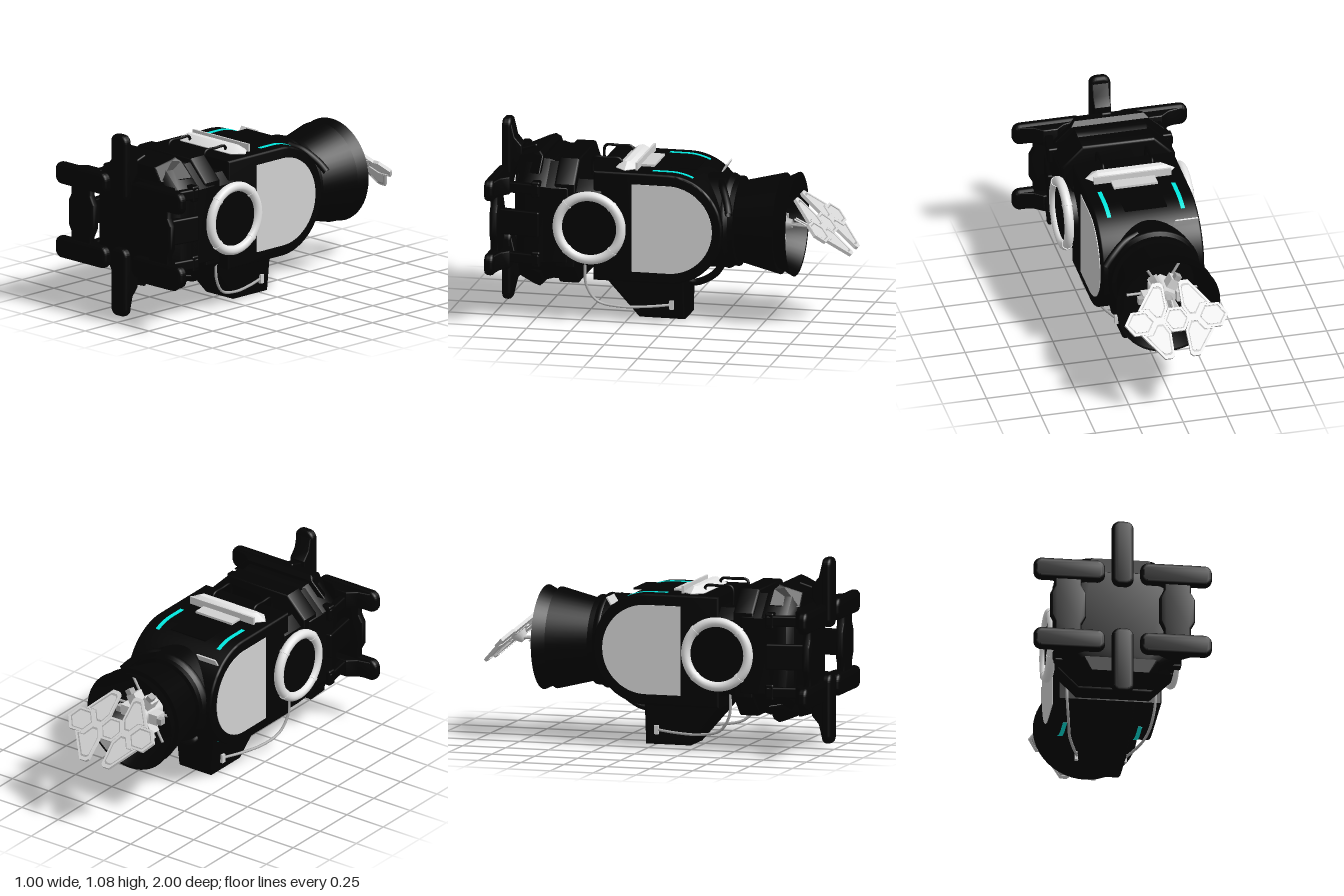
import * as THREE from 'three';
import { toCreasedNormals } from 'three/addons/utils/BufferGeometryUtils.js';
import { RoundedBoxGeometry } from 'three/addons/geometries/RoundedBoxGeometry.js';

const CY = 0.555; // height of the long axis
const material = (name, color, side = THREE.FrontSide) => {
  const m = new THREE.MeshStandardMaterial({ color, side });
  m.name = name;
  return m;
};
const black = material('hull black', 0x030303, THREE.DoubleSide);
const white = material('ring white', 0xe4e4e4);
const panelGrey = material('panel grey', 0xd0d0d0);
const dishGrey = material('dish grey', 0xd6d6d6);
const frameGrey = material('frame grey', 0xaaaaaa);
const cyan = material('cyan light', 0x00f4ea);

function add(parent, name, geo, mat, p = [0, 0, 0], r = [0, 0, 0]) {
  const m = new THREE.Mesh(geo, mat);
  m.name = name;
  m.position.set(...p);
  m.rotation.set(...r);
  parent.add(m);
  return m;
}
const box = (w, h, d, r = 0) => r ? new RoundedBoxGeometry(w, h, d, 3, r) : new THREE.BoxGeometry(w, h, d);
const poly = pts => new THREE.Shape(pts.map(p => new THREE.Vector2(...p)));

// Extrusion centred on its depth; the bevel stays inside the outline
function slab(shape, depth, bevel = 0, thick = bevel) {
  const g = new THREE.ExtrudeGeometry(shape, {
    depth: depth - 2 * thick, bevelEnabled: bevel > 0, bevelSize: bevel, bevelThickness: thick,
    bevelOffset: -bevel, bevelSegments: thick === bevel ? 3 : 1, curveSegments: 20,
  });
  g.translate(0, 0, thick - depth / 2);
  return toCreasedNormals(g, 0.6);
}
// Outline in (z, y), extruded across x
const sideSlab = (shape, width, bevel) => slab(shape, width, bevel).rotateY(-Math.PI / 2);

// Scale x of each vertex by a rule of y and z
function taper(geo, rule) {
  const p = geo.attributes.position;
  for (let i = 0; i < p.count; i++) p.setX(i, p.getX(i) * rule(p.getY(i), p.getZ(i)));
  geo.computeVertexNormals();
  return geo;
}
function octagon(w, h, cx, cy = cx) {
  return poly([[w, h - cy], [w - cx, h], [cx - w, h], [-w, h - cy],
    [-w, cy - h], [cx - w, -h], [w - cx, -h], [w, cy - h]]);
}
function roundRect(w, h, r) {
  const s = new THREE.Shape(), x = w / 2 - r, y = h / 2 - r;
  s.absarc(x, y, r, 0, Math.PI / 2);
  s.absarc(-x, y, r, Math.PI / 2, Math.PI);
  s.absarc(-x, -y, r, Math.PI, Math.PI * 1.5);
  s.absarc(x, -y, r, Math.PI * 1.5, Math.PI * 2);
  s.closePath();
  return s;
}
// D-shaped outline in (z, y), round towards the back
function dShape(front, centre, r) {
  const s = new THREE.Shape();
  s.moveTo(front, CY - r);
  s.lineTo(front, CY + r);
  s.absarc(centre, CY, r, Math.PI / 2, Math.PI * 1.5);
  s.closePath();
  return s;
}
// Thin band in (z, y) that follows the hull, t = 1 on the roof and -1 below
function hullBand(t) {
  const s = new THREE.Shape(), a = t * Math.PI / 2, b = t * (Math.PI / 2 + 0.43);
  s.moveTo(0.1, CY + t * 0.31);
  s.lineTo(0.1, CY + t * 0.315);
  s.absarc(0, CY, 0.315, a, b, t < 0);
  s.absarc(0, CY, 0.31, b, a, t > 0);
  s.closePath();
  return s;
}
const tube = (pts, r, n = 30) => new THREE.TubeGeometry(
  new THREE.CatmullRomCurve3(pts.map(p => new THREE.Vector3(...p))), n, r, 8);

// Straight rod between two points
function rod(parent, name, a, b, r, mat) {
  const A = new THREE.Vector3(...a), B = new THREE.Vector3(...b);
  const m = add(parent, name, new THREE.CylinderGeometry(r, r, A.distanceTo(B), 10), mat);
  m.position.copy(A).lerp(B, 0.5);
  m.quaternion.setFromUnitVectors(new THREE.Vector3(0, 1, 0), B.sub(A).normalize());
}

// Landing pad: rounded sole with a flared foot behind it, long side along local x
function pad(parent, name, x, y, len, wid, turn) {
  const g = new THREE.Group();
  g.name = name;
  add(g, 'sole', slab(roundRect(len, wid, 0.045), 0.054, 0.02), black, [0, 0, 0.97]);
  const half = [[0.45, 0.96], [0.4, 0.942], [0.22, 0.925], [0.1, 0.885]];
  const foot = poly([...half.map(([u, z]) => [-u * len, z]), ...half.reverse().map(([u, z]) => [u * len, z])]);
  add(g, 'foot', slab(foot, wid * 0.8, 0.006).rotateX(Math.PI / 2), black);
  g.position.set(x, y, 0);
  g.rotation.z = turn;
  parent.add(g);
}

export function createModel() {
  const model = new THREE.Group();
  model.name = 'spacecraft';

  // Hull
  add(model, 'mainHull', sideSlab(dShape(0.42, 0, 0.312), 0.58, 0.012), black);
  add(model, 'neck', slab(octagon(0.3, 0.25, 0.06), 0.2, 0.01), black, [0, CY, 0.47]);
  add(model, 'frontFlange', slab(octagon(0.325, 0.355, 0.12), 0.12, 0.015), black, [0, CY, 0.575]);
  add(model, 'frontCore', slab(octagon(0.33, 0.335, 0.125), 0.2, 0.02), black, [0, CY, 0.65]);
  add(model, 'frontBlock', slab(octagon(0.33, 0.345, 0.13), 0.27, 0.095), black, [0, CY, 0.735]);
  const keel = poly([[0.42, 0.28], [0.38, 0.21], [0.2, 0], [-0.06, 0], [-0.06, 0.28]]);
  add(model, 'keel', taper(sideSlab(keel, 0.28, 0.018), y => 0.85 + 0.8 * y), black);
  add(model, 'keelPipe', tube([[0, 0.2, -0.04], [0, 0.19, -0.1], [0, 0.24, -0.2], [0, 0.32, -0.26]], 0.02), black);

  // Landing gear
  for (const s of [1, -1]) {
    const v = CY + s * 0.326;
    pad(model, 'verticalPad', 0, v, 0.39, 0.122, Math.PI / 2);
    const bracket = poly([[0.72, 0.28], [0.72, 0.365], [0.745, 0.387], [0.78, 0.375], [0.87, 0.34], [0.87, 0.26]]
      .map(([z, y]) => [z, CY + s * y]));
    add(model, 'padBracket', taper(sideSlab(bracket, 0.56, 0.006), (y, z) =>
      (1.12 - Math.max(0, Math.abs(y - CY) - 0.28) * 3.8) * (1 - Math.max(0, z - 0.76) * 3.2)), black);
    add(model, 'padStrut', box(0.06, 0.07, 0.14, 0.01), black, [0, v, 0.86], [s * 0.3, 0, 0]);

    const side = new THREE.Group();
    side.name = 'sideGear';
    const web = poly([[0.23, 0.2], [0.23, 0.12], [0.205, 0.07], [0.205, -0.07], [0.23, -0.12], [0.23, -0.2],
      [0.38, -0.2], [0.38, -0.11], [0.403, -0.068], [0.403, 0.068], [0.38, 0.11], [0.38, 0.2]].map(([x, y]) => [s * x, y]));
    add(side, 'web', slab(web, 0.045, 0.012), black, [0, CY, 0.963]);
    add(side, 'axle', box(0.045, 0.145, 0.24, 0.01), black, [s * 0.318, CY, 0.83], [0, -s * 0.17, 0]);
    for (const t of [1, -1]) {
      pad(side, 'sidePad', s * 0.298, CY + t * 0.212, 0.4, 0.125, 0);
      add(side, 'strut', box(0.045, 0.06, 0.24, 0.01), black, [s * 0.318, CY + t * 0.2, 0.83], [0, -s * 0.17, 0]);
      add(side, 'strutRoot', box(0.08, 0.09, 0.05, 0.01), black, [s * 0.315, CY + t * 0.2, 0.735]);
    }
    model.add(side);
  }

  // Side equipment
  for (const s of [1, -1]) {
    add(model, 'sidePanel', sideSlab(dShape(0.2, -0.005, 0.25), 0.008, 0), panelGrey, [s * 0.29, 0, 0]);
    add(model, 'ringHub', new THREE.CylinderGeometry(0.174, 0.174, 0.09, 48), black, [s * 0.302, CY, 0.43], [0, 0, Math.PI / 2]);
    add(model, 'ring', new THREE.TorusGeometry(0.181, 0.027, 14, 56), white, [s * 0.346, CY, 0.43], [0, Math.PI / 2, 0]);
    for (let i = 0; i < 4; i++) {
      const a = Math.PI / 4 + i * Math.PI / 2;
      add(model, 'ringClamp', new THREE.CylinderGeometry(0.03, 0.03, 0.014, 16), white,
        [s * 0.346, CY + 0.181 * Math.sin(a), 0.43 + 0.181 * Math.cos(a)], [-a, 0, 0]);
    }
    add(model, 'cable', tube([[s * 0.25, 0.36, 0.475], [s * 0.245, 0.2, 0.47], [s * 0.23, 0.11, 0.41],
      [s * 0.21, 0.08, 0.29], [s * 0.17, 0.077, 0.14], [s * 0.13, 0.085, 0.01]], 0.008, 44), frameGrey);
    add(model, 'cablePlug', box(0.02, 0.05, 0.024), panelGrey, [s * 0.135, 0.085, 0.01]);
    for (const t of [1, -1]) {
      add(model, 'lightStrip', sideSlab(hullBand(t), 0.023, 0), cyan, [s * 0.21, 0, 0]);
    }
    add(model, 'handle', tube([[s * 0.14, 0.78, 0.455], [s * 0.14, 0.895, 0.455], [s * 0.14, 0.908, 0.442],
      [s * 0.14, 0.908, 0.375], [s * 0.14, 0.908, 0.308], [s * 0.14, 0.895, 0.295], [s * 0.14, 0.86, 0.295]], 0.008, 48), black);
  }

  // Roof details
  add(model, 'roofBar', slab(poly([[-0.255, 0], [-0.2, 0.062], [0.2, 0.062], [0.255, 0], [0.2, -0.062], [-0.2, -0.062]]),
    0.07, 0.046, 0.034).rotateX(-Math.PI / 2), white, [0, 0.873, 0.25]);
  add(model, 'roofBarBack', box(0.44, 0.045, 0.012), panelGrey, [0, 0.888, 0.19]);
  add(model, 'roofBox', box(0.25, 0.02, 0.08), panelGrey, [0, 0.87, 0.15]);
  add(model, 'roofHatch', box(0.24, 0.008, 0.2), black, [0, 0.866, -0.03]);
  add(model, 'roofFin', box(0.13, 0.05, 0.008), dishGrey, [-0.205, 0.813, -0.225], [-0.55, 0, 0]);
  add(model, 'roofPipe', tube([[0.08, 0.79, -0.26], [0.16, 0.77, -0.29], [0.24, 0.71, -0.33], [0.285, 0.66, -0.35]], 0.022), black);

  // Engine collar and stepped bell
  const lathe = pts => toCreasedNormals(new THREE.LatheGeometry(
    pts.map(p => new THREE.Vector2(...p)), 48).rotateX(-Math.PI / 2), 0.5);
  add(model, 'collar', lathe([[0.262, 0.12], [0.262, 0.31], [0.25, 0.33], [0.25, 0.36], [0.18, 0.365]]), black, [0, CY, 0]);
  add(model, 'collarRing', new THREE.TorusGeometry(0.25, 0.016, 10, 48), black, [0, CY, -0.3]);
  add(model, 'engineBell', lathe([[0.2, 0.35], [0.225, 0.36], [0.283, 0.595], [0.25, 0.59], [0.291, 0.672],
    [0.28, 0.67], [0.24, 0.59], [0.2, 0.42], [0, 0.42]]), black, [0, CY, 0]);

  // Mechanism inside the bell
  const core = new THREE.Group();
  core.name = 'antennaMount';
  core.position.y = CY;
  add(core, 'coreDrum', new THREE.CylinderGeometry(0.06, 0.085, 0.14, 6), dishGrey, [0, 0, -0.53], [-Math.PI / 2, 0, 0]);
  add(core, 'coreCap', new THREE.CylinderGeometry(0.025, 0.04, 0.05, 12), frameGrey, [0, 0, -0.62], [-Math.PI / 2, 0, 0]);
  for (let i = 0; i < 6; i++) {
    const arm = new THREE.Group();
    arm.name = 'mountArm';
    arm.rotation.z = i * Math.PI / 3;
    add(arm, 'armBlock', box(0.06, 0.06, 0.07), dishGrey, [0.095, 0, -0.55]);
    add(arm, 'armTip', box(0.03, 0.035, 0.04), frameGrey, [0.14, 0, -0.57]);
    rod(arm, 'armRod', [0.08, 0, -0.5], [0.2, 0, -0.5], 0.008, frameGrey);
    core.add(arm);
  }
  for (const x of [-0.016, 0.016]) {
    rod(core, 'mastRod', [x, 0, -0.6], [x, -0.01, -0.8], 0.007, frameGrey);
    rod(core, 'mastBrace', [x, 0.03, -0.66], [x, -0.025, -0.77], 0.005, dishGrey);
  }
  model.add(core);

  // Folding antenna: three hexagons and four petals on a tilted plane
  const dish = new THREE.Group();
  dish.name = 'antenna';
  dish.position.set(0, 0.57, -0.84);
  dish.rotation.x = -2.324;
  add(dish, 'mastJoint', new THREE.CylinderGeometry(0.05, 0.022, 0.05, 16), dishGrey, [0, 0, -0.028], [Math.PI / 2, 0, 0]);
  function panel(name, pts) {
    const c = pts.reduce((a, p) => [a[0] + p[0] / pts.length, a[1] + p[1] / pts.length], [0, 0]);
    const inset = k => pts.map(p => p.map((v, i) => c[i] + (v - c[i]) * k));
    const rim = poly(pts);
    rim.holes.push(new THREE.Path(inset(0.82).map(p => new THREE.Vector2(...p))));
    add(dish, name + 'Base', slab(poly(inset(0.99)), 0.008), frameGrey);
    add(dish, name + 'Rim', slab(rim, 0.018), dishGrey);
    add(dish, name, slab(poly(inset(0.72)), 0.012), dishGrey);
  }
  const hex = (x, w) => [[x + w, 0], [x + w / 2, 0.068], [x - w / 2, 0.068], [x - w, 0], [x - w / 2, -0.068], [x + w / 2, -0.068]];
  panel('centreHexagon', hex(0, 0.076));
  for (const s of [1, -1]) {
    panel('outerHexagon', hex(s * 0.205, 0.09));
    for (const t of [1, -1]) {
      panel('petal', [[0.045, 0.205], [0.06, 0.219], [0.1, 0.219], [0.21, 0.07], [0.16, 0.068],
        [0.115, 0], [0.076, 0], [0.042, 0.066]].map(([x, y]) => [s * x, t * y]));
    }
  }
  model.add(dish);
  return model;
}
